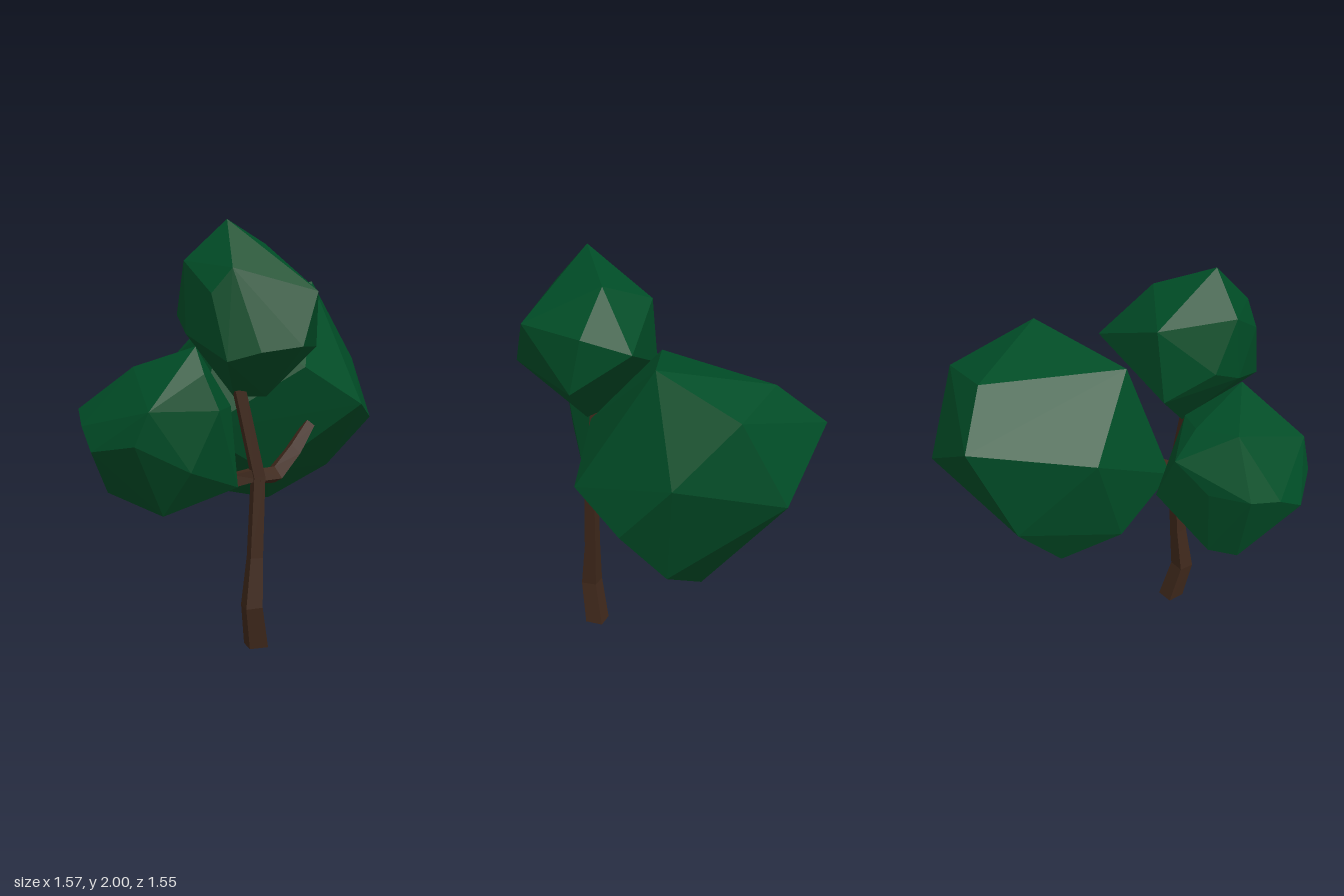
import * as THREE from 'three';
import { ConvexGeometry } from 'three/addons/geometries/ConvexGeometry.js';

const leafMat = new THREE.MeshStandardMaterial({ color: 0x004c26, flatShading: true });
const barkMat = new THREE.MeshStandardMaterial({ color: 0x3f281b, flatShading: true });

// Faceted foliage mass: hull around a few corner points
function foliage(name, corners) {
  const mesh = new THREE.Mesh(new ConvexGeometry(corners.map(c => new THREE.Vector3(...c))), leafMat);
  mesh.name = name;
  return mesh;
}

// Square limb through stations [x, y, z, width], closed at both ends.
// up is the section normal at the first station.
function limb(name, stations, up) {
  const sides = 4;
  const pts = stations.map(s => new THREE.Vector3(s[0], s[1], s[2]));
  const last = pts.length - 1;
  const pos = [], index = [];
  pts.forEach((p, i) => {
    const dir = i === 0 ? up.clone() : pts[Math.min(i + 1, last)].clone().sub(pts[i - 1]).normalize();
    const q = new THREE.Quaternion().setFromUnitVectors(new THREE.Vector3(0, 1, 0), dir);
    for (let k = 0; k < sides; k++) {
      const a = ((k + 0.5) / sides) * Math.PI * 2;
      const v = new THREE.Vector3(Math.sin(a), 0, Math.cos(a)).multiplyScalar(stations[i][3] * Math.SQRT1_2);
      pos.push(...v.applyQuaternion(q).add(p).toArray());
    }
  });
  for (let i = 0; i < last; i++) {
    for (let k = 0; k < sides; k++) {
      const a = i * sides + k, b = i * sides + (k + 1) % sides;
      index.push(a, b, b + sides, a, b + sides, a + sides);
    }
  }
  const top = last * sides;
  index.push(0, 2, 1, 0, 3, 2, top, top + 1, top + 2, top, top + 2, top + 3);
  const geo = new THREE.BufferGeometry();
  geo.setAttribute('position', new THREE.Float32BufferAttribute(pos, 3));
  geo.setIndex(index);
  geo.computeVertexNormals();
  const mesh = new THREE.Mesh(geo, barkMat);
  mesh.name = name;
  return mesh;
}

export function createModel() {
  const tree = new THREE.Group();
  tree.name = 'tree';

  // Trunk leaning up into the top crown, with two side branches
  tree.add(
    limb('trunk', [
      [0.017, 0, 0.427, 0.09], [-0.018, 0.21, 0.468, 0.08], [0.002, 0.44, 0.45, 0.06],
      [0.02, 0.82, 0.437, 0.054], [-0.07, 1.23, 0.43, 0.05],
    ], new THREE.Vector3(0, 1, 0)),
    limb('leftBranch', [
      [0.01, 0.82, 0.43, 0.06], [0.12, 0.81, 0.38, 0.066], [0.24, 0.90, 0.30, 0.06], [0.35, 1.01, 0.22, 0.045],
    ], new THREE.Vector3(1, 0, -0.4).normalize()),
    limb('rightBranch', [
      [0.03, 0.835, 0.435, 0.055], [-0.10, 0.80, 0.40, 0.06], [-0.29, 0.83, 0.41, 0.045],
    ], new THREE.Vector3(-1, 0, 0)),
  );

  // Large foliage at the back left
  tree.add(foliage('largeFoliage', [
    [0.48, 1.67, -0.10], [0.24, 1.58, -0.58], [0.57, 1.52, -0.53], [-0.03, 1.56, 0.07],
    [0.78, 1.25, -0.29], [0.78, 0.98, -0.04], [0.61, 1.10, 0.25], [0.30, 1.30, 0.30],
    [0.07, 1.36, -0.775], [0.48, 1.11, -0.72], [-0.24, 1.25, -0.26], [-0.20, 1.00, 0.21],
    [0.31, 0.54, -0.26], [0.61, 0.71, -0.20], [-0.02, 0.87, -0.57], [0.00, 0.60, -0.31],
    [-0.20, 0.77, -0.09], [0.17, 0.77, 0.14],
  ]));

  // Crown on top of the trunk
  tree.add(foliage('topFoliage', [
    [-0.15, 2.00, 0.50], [0.09, 1.88, 0.32], [-0.14, 1.77, 0.16], [0.24, 1.62, 0.11],
    [-0.34, 1.82, 0.47], [-0.27, 1.69, 0.66], [-0.18, 1.80, 0.68], [0.21, 1.69, 0.69],
    [0.29, 1.68, 0.35], [0.315, 1.41, 0.40], [-0.34, 1.50, 0.50], [-0.34, 1.57, 0.35],
    [-0.20, 1.42, 0.16], [-0.22, 1.40, 0.73], [-0.08, 1.44, 0.775], [0.11, 1.46, 0.775],
    [0.06, 1.19, 0.43], [-0.08, 1.19, 0.38],
  ]));

  // Lower foliage on the right
  tree.add(foliage('lowerFoliage', [
    [-0.31, 1.45, 0.55], [-0.54, 1.34, 0.33], [-0.33, 1.31, 0.25], [-0.30, 1.34, 0.65],
    [-0.77, 1.14, 0.21], [-0.79, 1.09, 0.38], [-0.78, 1.00, 0.53], [-0.57, 1.20, 0.735],
    [-0.63, 1.05, 0.72], [-0.38, 0.92, 0.72], [-0.24, 1.18, 0.68], [-0.56, 1.10, 0.14],
    [-0.36, 1.20, 0.10], [-0.24, 0.95, 0.09], [-0.17, 1.28, 0.32], [-0.10, 1.15, 0.40],
    [-0.11, 0.80, 0.54], [-0.65, 0.75, 0.26], [-0.55, 0.77, 0.16], [-0.47, 0.70, 0.58],
  ]));

  return tree;
}
